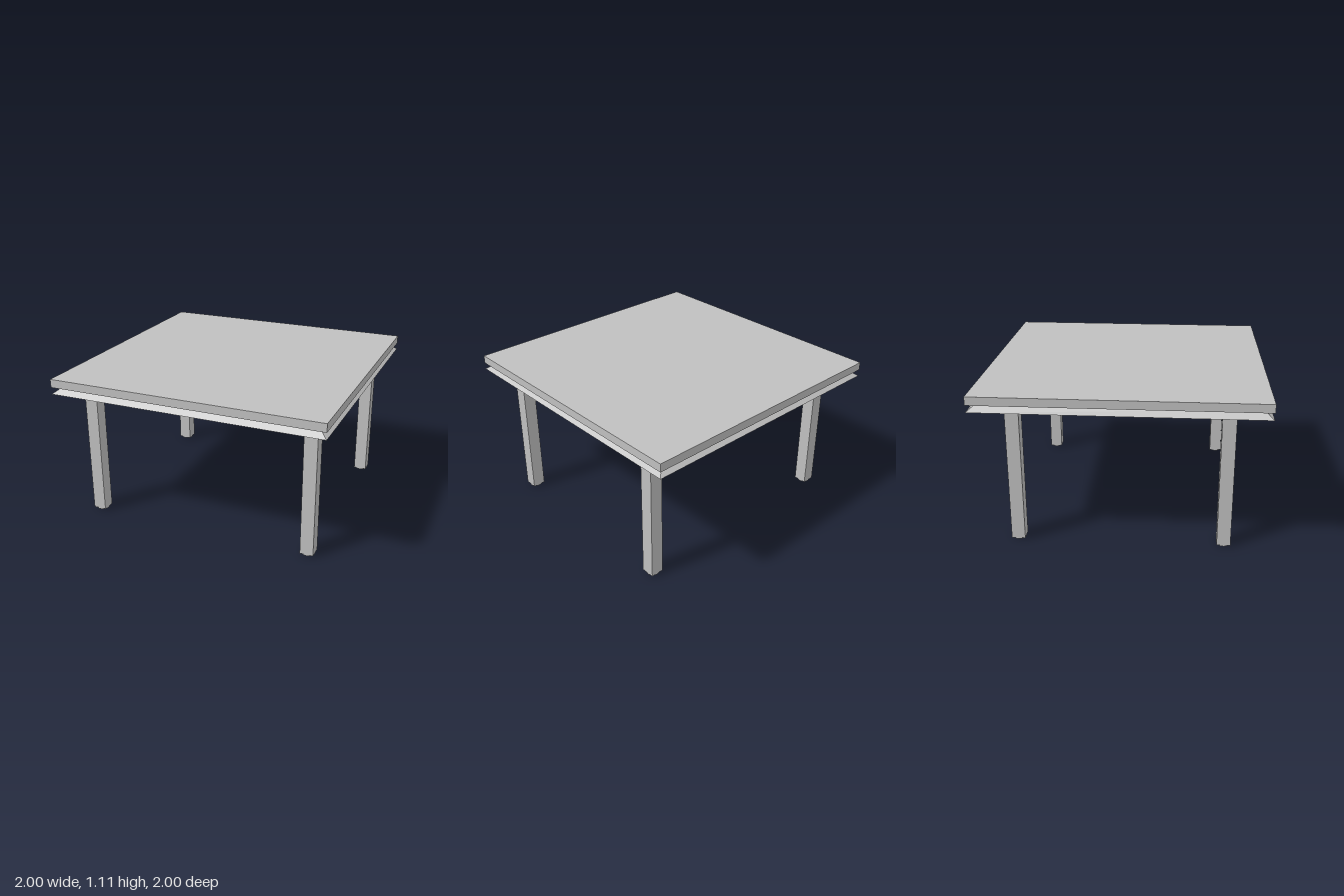
import * as THREE from 'three';

export function createModel() {
  const table = new THREE.Group();
  table.name = 'table';
  const grey = new THREE.MeshStandardMaterial({ color: 0xc0c0c0 });
  grey.name = 'grey';
  grey.flatShading = true;

  const add = (parent, name, geometry, x, y, z) => {
    const mesh = new THREE.Mesh(geometry, grey);
    mesh.name = name;
    mesh.position.set(x, y, z);
    parent.add(mesh);
  };

  // Square top slab
  add(table, 'tableTop', new THREE.BoxGeometry(2, 0.06, 2), 0, 1.08, 0);

  // Bevelled under-panel: a square frustum, wider at the bottom
  const panel = new THREE.CylinderGeometry(0.935 * Math.SQRT2, Math.SQRT2, 0.05, 4);
  panel.rotateY(Math.PI / 4);
  add(table, 'underPanel', panel, 0, 1.025, 0);

  // Four square legs, each on a thin round glide
  const legGeometry = new THREE.BoxGeometry(0.096, 0.99, 0.096);
  const glideGeometry = new THREE.CylinderGeometry(0.046, 0.046, 0.01, 24);
  for (const sx of [-1, 1]) {
    for (const sz of [-1, 1]) {
      const leg = new THREE.Group();
      leg.name = (sz > 0 ? 'front' : 'back') + (sx > 0 ? 'Left' : 'Right') + 'Leg';
      leg.position.set(sx * 0.833, 0, sz * 0.725);
      add(leg, 'post', legGeometry, 0, 0.505, 0);
      add(leg, 'footGlide', glideGeometry, 0, 0.005, 0);
      table.add(leg);
    }
  }
  return table;
}
